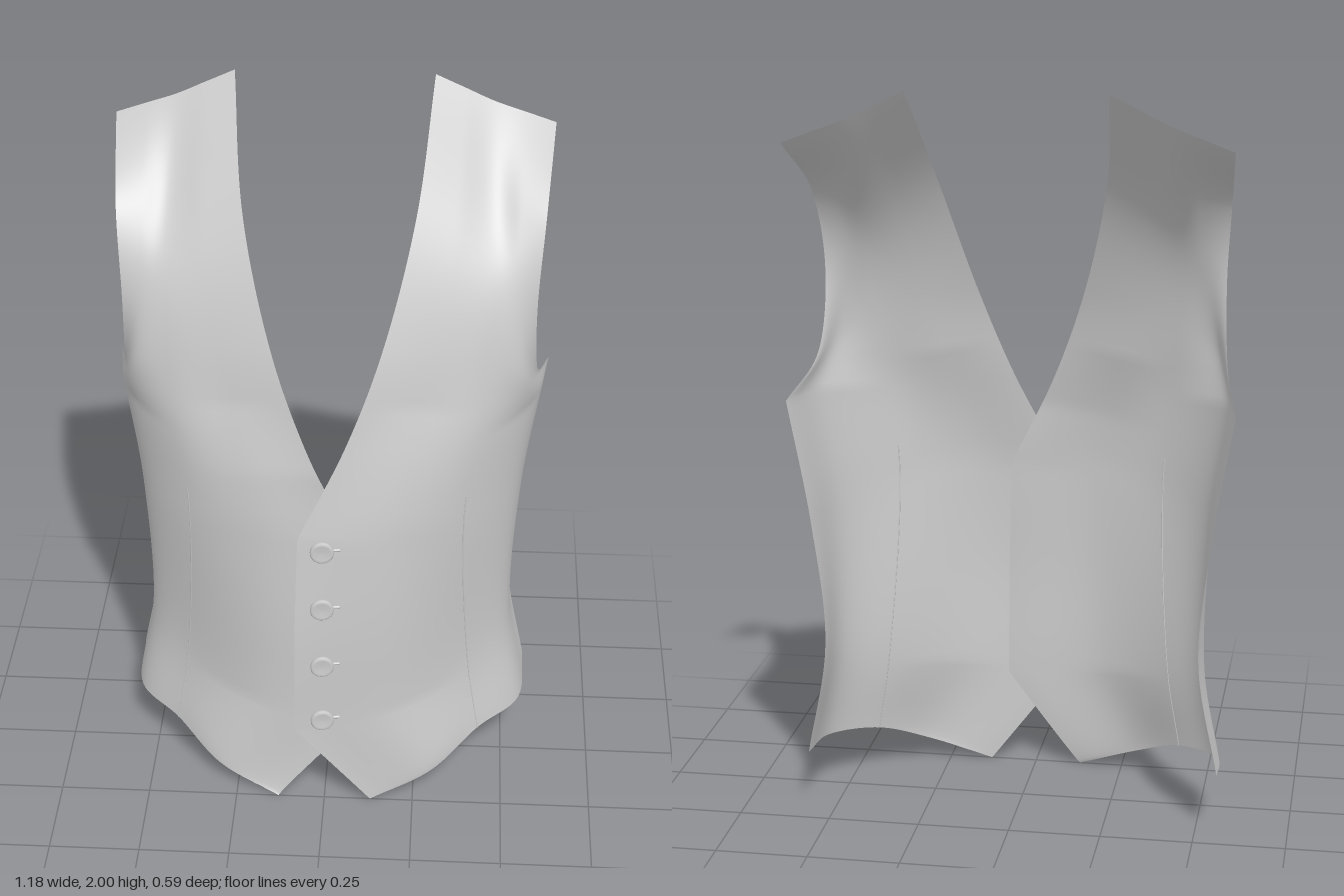
import * as THREE from 'three';

// Edge lines of the left panel from hem (t = 0) to shoulder (t = TOP), in pieces that meet at corners
const TOP = 11;
const FRONT_EDGE = [
  { start: 0, end: 2, pts: [[.13, 0, .25], [-.08, .27, .284]] },
  { start: 2, end: 4, pts: [[-.08, .27, .284], [-.078, .58, .288], [-.07, .9, .268]] },
  { start: 4, end: TOP, pts: [[-.07, .9, .268], [.055, 1.16, .212], [.145, 1.41, .145], [.222, 1.72, 0], [.26, 2, -.27]] },
];
const DART_LINE = [
  { start: 0, end: TOP, pts: [[.43, .14, .085], [.395, .37, .077], [.37, .91, .134], [.405, 1.23, .107], [.428, 1.575, .015], [.415, 1.925, -.279]] },
];
const SIDE_EDGE = [
  { start: 0, end: 6, pts: [[.56, .18, -.22], [.505, .5, -.225], [.535, .84, -.232], [.59, 1.18, -.25]] },
  { start: 6, end: TOP, pts: [[.59, 1.18, -.25], [.551, 1.27, -.04], [.541, 1.48, .015], [.555, 1.7, -.05], [.577, 1.865, -.288]] },
];

function makeGuide(pieces) {
  const parts = pieces.map(({ start, end, pts }) => ({
    start, end, curve: new THREE.CatmullRomCurve3(pts.map((p) => new THREE.Vector3(...p))),
  }));
  return (t) => {
    const p = parts.find((q) => t <= q.end);
    return p.curve.getPoint((t - p.start) / (p.end - p.start));
  };
}
const frontEdge = makeGuide(FRONT_EDGE);
const dartLine = makeGuide(DART_LINE);
const sideEdge = makeGuide(SIDE_EDGE);

// Section across a panel: side = 1 is the upper (left) panel, -1 the lower (right) one
function section(t, side) {
  const a = frontEdge(t), b = dartLine(t), d = sideEdge(t);
  // The lower panel tucks under the upper one
  if (side < 0 && t < 5.2) a.z -= .036 * Math.sin(Math.PI * t / 5.2);
  // Belly fullness in front, and a rounded turn at the side that flattens into the strap
  const belly = .045 * Math.max(0, Math.cos((t - 2.2) / 4.3 * Math.PI / 2));
  const turn = .05 * (1 - THREE.MathUtils.smoothstep(t, 6, 9));
  const m = a.clone().lerp(b, .5).add(new THREE.Vector3(.65 * belly, 0, belly));
  const c = b.clone().lerp(d, .5).add(new THREE.Vector3(turn, 0, .7 * turn));
  const pts = [a, m, b, c, d];
  pts.forEach((p) => { p.x *= side; });
  return new THREE.CatmullRomCurve3(pts);
}

function panelGeometry(side) {
  const rows = TOP * 8, cols = 48, pos = [], idx = [];
  for (let j = 0; j <= rows; j++) {
    const curve = section((j / rows) * TOP, side);
    for (let i = 0; i <= cols; i++) pos.push(...curve.getPoint(i / cols).toArray());
  }
  for (let j = 0; j < rows; j++) {
    for (let i = 0; i < cols; i++) {
      const a = j * (cols + 1) + i, b = a + 1, c = a + cols + 1, d = c + 1;
      if (side > 0) idx.push(a, b, d, a, d, c);
      else idx.push(a, d, b, a, c, d);
    }
  }
  const geo = new THREE.BufferGeometry();
  geo.setAttribute('position', new THREE.Float32BufferAttribute(pos, 3));
  geo.setIndex(idx);
  geo.computeVertexNormals();
  return geo;
}

// Point of the upper panel's section at a given x near the front
function pointAtX(curve, x) {
  let lo = 0, hi = .5;
  for (let k = 0; k < 24; k++) {
    const mid = (lo + hi) / 2;
    if (curve.getPoint(mid).x < x) lo = mid; else hi = mid;
  }
  return curve.getPoint(lo);
}

export function createModel() {
  const model = new THREE.Group();
  const cloth = new THREE.MeshStandardMaterial({ color: 0xcccccc, side: THREE.DoubleSide });
  const solid = new THREE.MeshStandardMaterial({ color: 0xcccccc });
  const add = (parent, name, geo, mat) => {
    const mesh = new THREE.Mesh(geo, mat);
    mesh.name = name;
    parent.add(mesh);
    return mesh;
  };

  // Front panels with their darts
  for (const side of [1, -1]) {
    const label = side > 0 ? 'left' : 'right';
    add(model, label + 'Panel', panelGeometry(side), cloth);
    const dart = [];
    for (let t = 0; t <= 4.75; t += .25) dart.push(section(t, side).getPoint(.5));
    add(model, label + 'Dart', new THREE.TubeGeometry(new THREE.CatmullRomCurve3(dart), 40, .002, 5), solid);
  }

  // Buttons: discs with a raised rim, each beside a stitched buttonhole
  const profile = [[0, -.008], [.028, -.008], [.032, -.003], [.032, .004], [.028, .008], [.023, .006], [0, .005]]
    .map(([x, y]) => new THREE.Vector2(x, y));
  const buttonGeo = new THREE.LatheGeometry(profile, 28).rotateX(Math.PI / 2);
  const holeGeo = new THREE.CapsuleGeometry(.004, .026, 4, 8).rotateZ(Math.PI / 2);
  [.305, .495, .685, .865].forEach((y, i) => {
    const curve = section(2 + 2 * (y - .27) / .63, 1);
    const p = pointAtX(curve, -.005), q = pointAtX(curve, .035);
    const set = new THREE.Group();
    set.name = 'buttonSet' + (i + 1);
    set.position.set(p.x, y, p.z);
    set.rotation.y = Math.atan2(p.z - q.z, q.x - p.x);
    add(set, 'button', buttonGeo, solid).position.z = .01;
    add(set, 'buttonhole', holeGeo, solid).position.x = .034;
    model.add(set);
  });
  return model;
}
